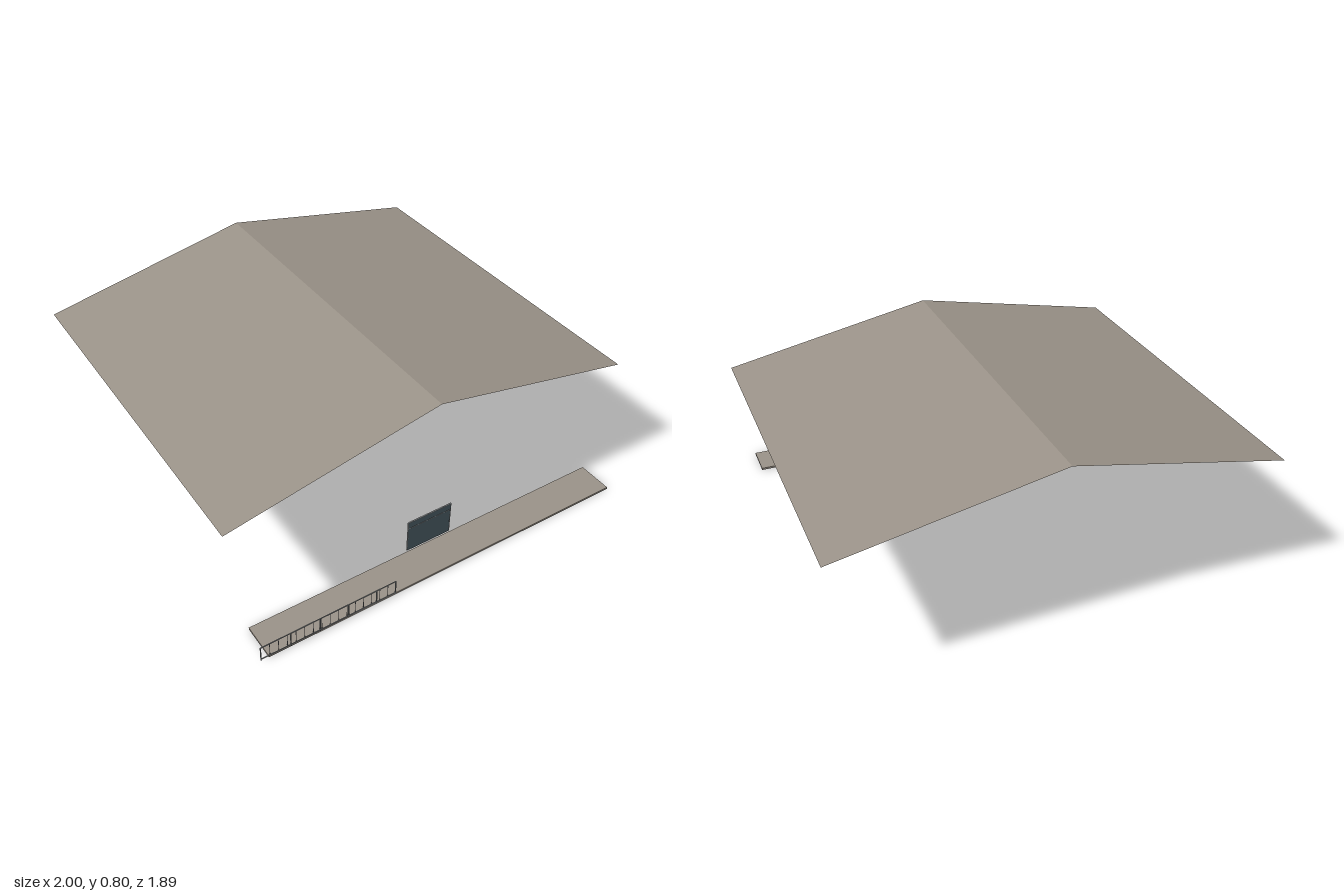
import * as THREE from 'three';

const material = (name, color) => {
  const m = new THREE.MeshStandardMaterial({ color });
  m.name = name;
  return m;
};

export function createModel() {
  const model = new THREE.Group();
  model.name = 'canopyPlatform';
  const concrete = material('warm grey concrete', 0x9a9288);
  concrete.side = THREE.DoubleSide;
  const timber = material('pale timber', 0xc8b99f);
  const glass = material('slate glass', 0x4a5b63);
  const metal = material('grey metal', 0x8c9092);

  // Box given by its limits on each axis
  const box = (parent, name, mat, [x0, x1], [y0, y1], [z0, z1]) => {
    const mesh = new THREE.Mesh(new THREE.BoxGeometry(x1 - x0, y1 - y0, z1 - z0), mat);
    mesh.position.set((x0 + x1) / 2, (y0 + y1) / 2, (z0 + z1) / 2);
    mesh.name = name;
    parent.add(mesh);
  };
  const group = (name) => {
    const g = new THREE.Group();
    g.name = name;
    model.add(g);
    return g;
  };

  // Gabled roof: two thin sheets meeting at a ridge along z
  const roof = group('roof');
  const back = -0.946, front = 0.793;
  const slope = (name, xa, ya, xb, yb) => {
    const geo = new THREE.BufferGeometry();
    geo.setAttribute('position', new THREE.Float32BufferAttribute([
      xa, ya, back, xa, ya, front, xb, yb, front, xb, yb, back], 3));
    geo.setIndex([0, 1, 2, 0, 2, 3]);
    geo.computeVertexNormals();
    const mesh = new THREE.Mesh(geo, concrete);
    mesh.name = name;
    roof.add(mesh);
  };
  slope('rightSlope', -1, 0.6, 0, 0.8);
  slope('leftSlope', 0, 0.8, 1, 0.6);

  // Straight cross beams below the eaves
  const beams = group('beams');
  for (const z of [0.437, 0.097, -0.243, -0.583]) {
    box(beams, 'crossBeam', timber, [-0.98, 0.98], [0.564, 0.588], [z - 0.007, z + 0.007]);
  }

  // Long narrow deck
  box(model, 'deck', concrete, [-0.912, 0.912], [0, 0.01], [0.776, 0.943]);

  // Glazed door with a thin frame and transom
  const door = group('door');
  const zd = [0.763, 0.769];
  box(door, 'pane', glass, [-0.113, 0.113], [0.006, 0.173], [0.764, 0.768]);
  for (const s of [-1, 1]) {
    box(door, 'jamb', metal, [s * 0.114 - 0.0015, s * 0.114 + 0.0015], [0.006, 0.175], zd);
  }
  box(door, 'head', metal, [-0.115, 0.115], [0.172, 0.175], zd);
  box(door, 'transom', metal, [-0.115, 0.115], [0.137, 0.140], zd);

  // Railing along part of the front edge
  const railing = group('railing');
  const left = -0.95, right = -0.298, zr = 0.944;
  box(railing, 'topRail', metal, [left, right], [0.08, 0.083], [zr - 0.002, zr + 0.002]);
  box(railing, 'bottomRail', metal, [left, right], [0.012, 0.015], [zr - 0.002, zr + 0.002]);
  const upright = (name, x, r, y0) =>
    box(railing, name, metal, [x - r, x + r], [y0, 0.082], [zr - r, zr + r]);
  for (const x of [-0.948, -0.81, -0.672, -0.534, -0.396, -0.3]) upright('post', x, 0.002, 0.008);
  for (let x = -0.907; x < right - 0.01; x += 0.0405) upright('baluster', x, 0.001, 0.013);

  return model;
}
